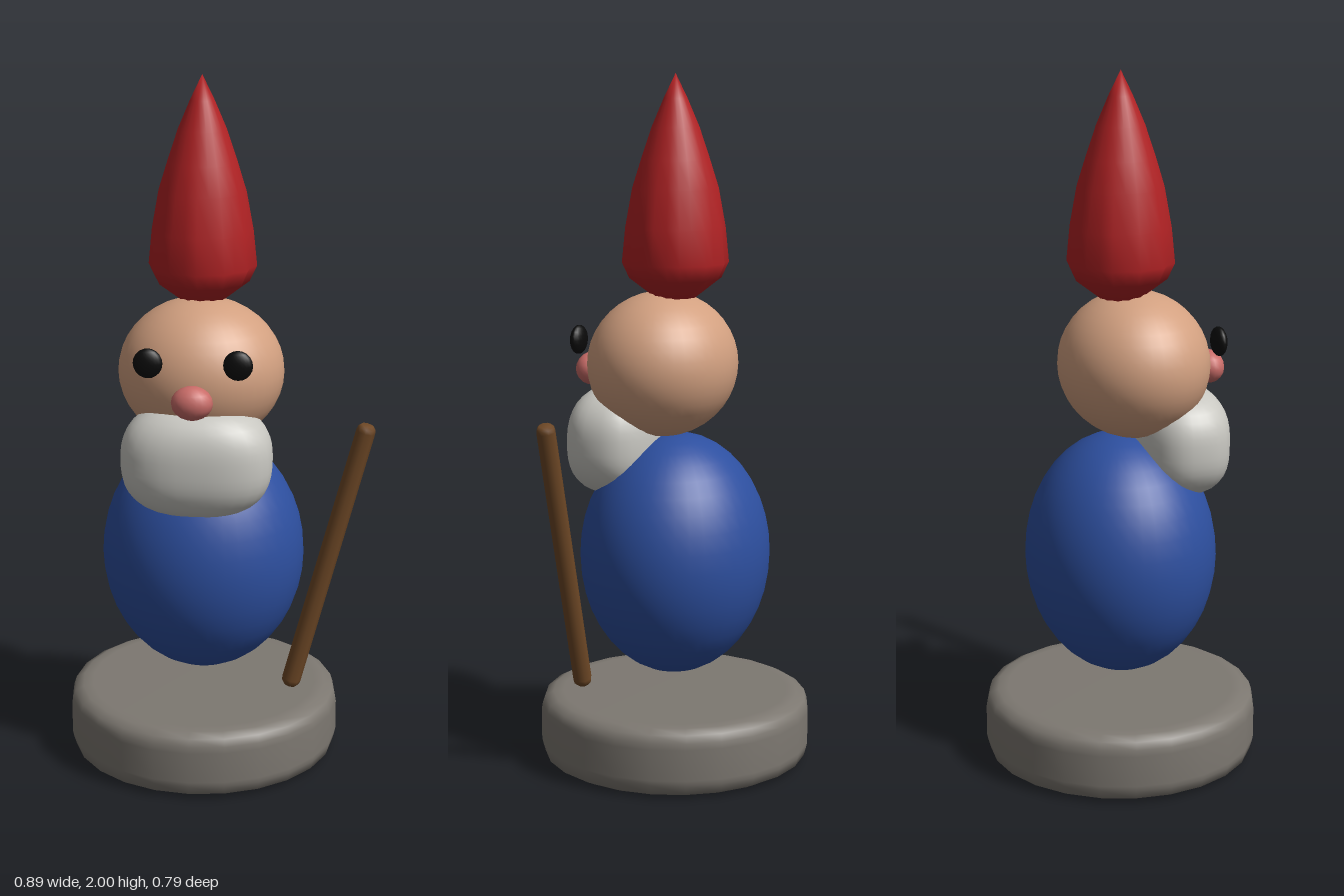
import * as THREE from 'three';
import { mergeVertices } from 'three/addons/utils/BufferGeometryUtils.js';

const CX = -0.055; // the figure's axis; the staff stands off to its left

const material = (name, color) => {
  const m = new THREE.MeshStandardMaterial({ color });
  m.name = name;
  return m;
};

// Joins seams and rebuilds smooth normals after vertices were moved
function smooth(geometry) {
  geometry.deleteAttribute('uv');
  geometry.deleteAttribute('normal');
  const merged = mergeVertices(geometry, 1e-5);
  merged.computeVertexNormals();
  return merged;
}

const lathe = (profile, sides) =>
  new THREE.LatheGeometry(profile.map(([r, y]) => new THREE.Vector2(r, y)), sides);

export function createModel() {
  const group = new THREE.Group();
  const stone = material('stone grey', 0x7d7871);
  const blue = material('coat blue', 0x2d4f9f);
  const skin = material('skin', 0xd2a080);
  const red = material('hat red', 0xb22224);
  const white = material('beard white', 0xc8c7c1);
  const pink = material('nose pink', 0xc96c68);
  const black = material('eye black', 0x0a0a0a);
  const wood = material('staff brown', 0x6e4826);

  const add = (name, geometry, mat, x, y, z) => {
    const mesh = new THREE.Mesh(geometry, mat);
    mesh.name = name;
    mesh.position.set(x, y, z);
    group.add(mesh);
    return mesh;
  };
  const ellipsoid = (name, mat, x, y, z, rx, ry, rz, n = 32) =>
    add(name, new THREE.SphereGeometry(1, n, n / 2).scale(rx, ry, rz), mat, x, y, z);

  // Round stone base with softened rims
  add('base', lathe([
    [0, 0.005], [0.33, 0.005], [0.36, 0.007], [0.385, 0.02], [0.392, 0.045], [0.395, 0.06],
    [0.395, 0.15], [0.392, 0.168], [0.385, 0.19], [0.36, 0.203], [0.33, 0.205], [0, 0.205],
  ], 24), stone, CX, 0, 0);

  // Body and head
  ellipsoid('body', blue, CX, 0.62, 0, 0.293, 0.355, 0.273, 40);
  ellipsoid('head', skin, CX, 1.175, 0.04, 0.235, 0.21, 0.214, 40);

  // Beard: a sphere squared off into a soft block
  const beard = new THREE.SphereGeometry(1, 32, 24);
  const p = beard.attributes.position;
  const v = new THREE.Vector3();
  const n = 2.6;
  for (let i = 0; i < p.count; i++) {
    v.fromBufferAttribute(p, i);
    const s = Math.abs(v.x) ** n + Math.abs(v.y) ** n + Math.abs(v.z) ** n;
    v.multiplyScalar(s ** (-1 / n));
    p.setXYZ(i, v.x * 0.213, v.y * 0.16, v.z * 0.137);
  }
  add('beard', smooth(beard), white, CX, 0.95, 0.163);

  // Nose and eyes
  ellipsoid('nose', pink, CX, 1.145, 0.27, 0.058, 0.048, 0.045, 20);
  for (const [name, side] of [['leftEye', 1], ['rightEye', -1]]) {
    ellipsoid(name, black, CX + side * 0.124, 1.248, 0.247, 0.041, 0.042, 0.02, 20);
  }

  // Pointed hat: pleats deepest at the brim, fading upwards
  const hat = lathe([
    [0, 1.37], [0.06, 1.37], [0.132, 1.425], [0.153, 1.47], [0.143, 1.57],
    [0.123, 1.68], [0.098, 1.76], [0.068, 1.85], [0.034, 1.93], [0, 2],
  ], 24);
  const h = hat.attributes.position;
  for (let i = 0; i < h.count; i++) {
    v.fromBufferAttribute(h, i);
    const angle = Math.atan2(v.x, v.z);
    const fade = THREE.MathUtils.clamp((1.7 - v.y) / 0.25, 0, 1);
    const k = 1 - 0.045 * fade * (1 - Math.cos(12 * angle));
    h.setXYZ(i, v.x * k, v.y, v.z * k);
  }
  add('hat', smooth(hat), red, CX, 0, 0);

  // Leaning staff with bevelled ends
  const foot = new THREE.Vector3(0.213, 0.273, 0.165);
  const top = new THREE.Vector3(0.421, 1.065, 0.165);
  const axis = top.clone().sub(foot);
  const half = axis.length() / 2;
  const staff = add('staff', lathe([
    [0, -half], [0.018, -half], [0.025, -half + 0.008], [0.027, -half + 0.02],
    [0.027, half - 0.02], [0.025, half - 0.008], [0.018, half], [0, half],
  ], 8), wood, 0, 0, 0);
  staff.position.copy(foot).add(top).multiplyScalar(0.5);
  staff.quaternion.setFromUnitVectors(new THREE.Vector3(0, 1, 0), axis.normalize());

  return group;
}
